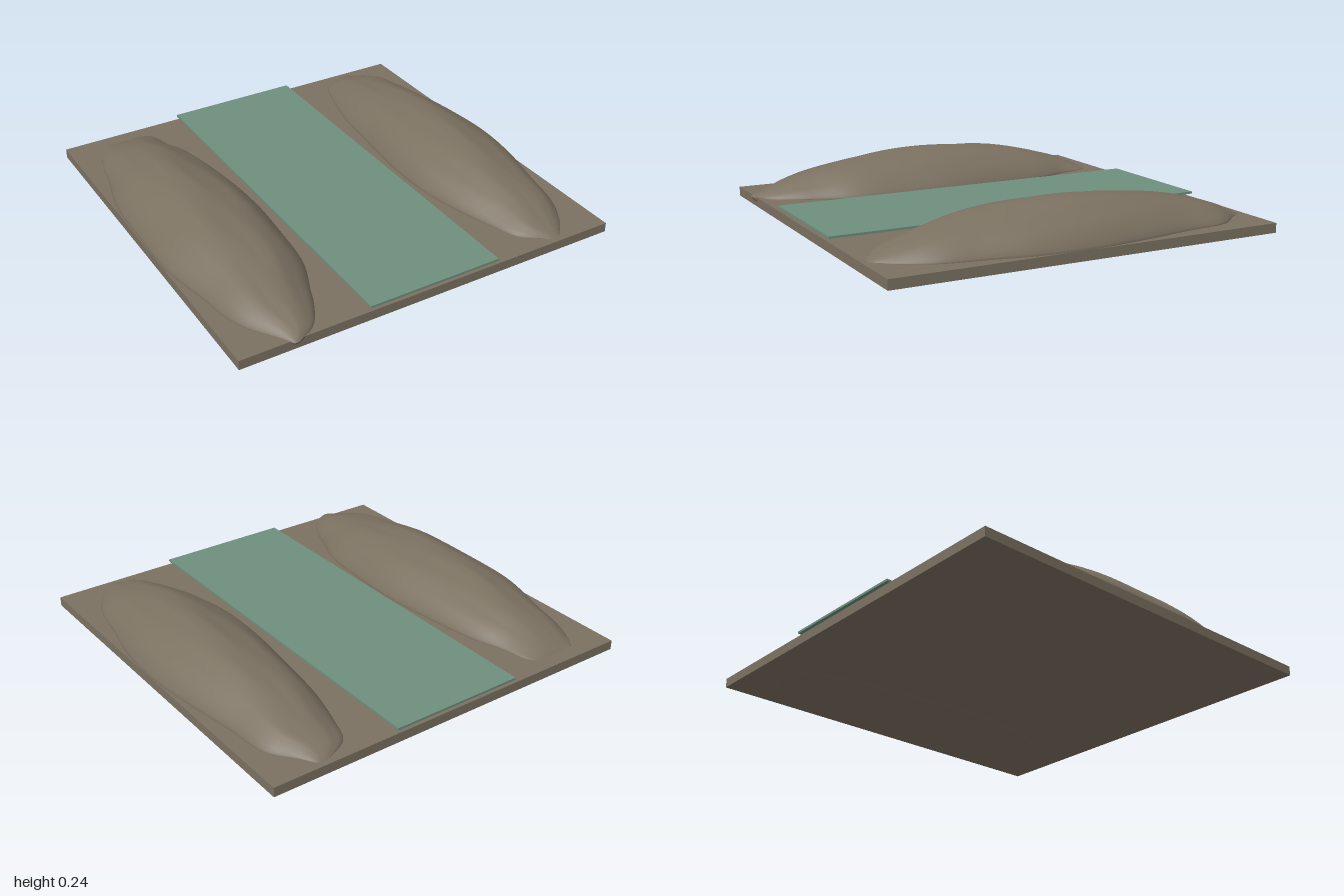
import * as THREE from 'three';

const earth = new THREE.MeshStandardMaterial({ color: 0x7b7161 });
earth.name = 'earth brown';
const waterGreen = new THREE.MeshStandardMaterial({ color: 0x6f8f7d });
waterGreen.name = 'water green';

function box(name, material, x0, x1, y0, y1, z0, z1) {
  const mesh = new THREE.Mesh(new THREE.BoxGeometry(x1 - x0, y1 - y0, z1 - z0), material);
  mesh.position.set((x0 + x1) / 2, (y0 + y1) / 2, (z0 + z1) / 2);
  mesh.name = name;
  return mesh;
}

// Long mound lofted along z; each outline row is [z, xMin, xMax]
function mound(name, outline, depth, seed) {
  const path = new THREE.CatmullRomCurve3(outline.map(([z, a, b]) => new THREE.Vector3(a, b, z)), false, 'centripetal');
  const rows = 48, sides = 40, pos = [], index = [];
  const zStart = outline[0][0], zEnd = outline[outline.length - 1][0];
  for (let i = 0; i <= rows; i++) {
    const { x: a, y: b, z } = path.getPoint(i / rows);
    const t = THREE.MathUtils.clamp(z < 0 ? z / zStart : z / zEnd, 0, 1);
    const height = 0.182 * Math.pow(1 - t * t, 0.8);
    for (let j = 0; j < sides; j++) {
      const angle = (j / sides) * Math.PI * 2;
      const u = Math.cos(angle), s = Math.sin(angle);
      let y;
      if (s >= 0) {
        // Gentle weathered ridges on the upper side
        const ridge = 1 + 0.035 * Math.sin(7 * u + 4 * z + seed) + 0.02 * Math.sin(15 * u - 6 * z + seed * 2);
        y = 0.05 + height * Math.pow(s, 1.45) * ridge;
      } else {
        // Flattened underside
        y = 0.05 - Math.min(depth, 0.12 * -s * Math.sqrt(1 - t * t));
      }
      pos.push((a + b) / 2 + (b - a) / 2 * u, y, z);
      if (i < rows) {
        const k = (j + 1) % sides, p = i * sides, q = p + sides;
        index.push(p + j, p + k, q + j, p + k, q + k, q + j);
      }
    }
  }
  const geometry = new THREE.BufferGeometry();
  geometry.setAttribute('position', new THREE.Float32BufferAttribute(pos, 3));
  geometry.setIndex(index);
  geometry.computeVertexNormals();
  const mesh = new THREE.Mesh(geometry, earth);
  mesh.name = name;
  return mesh;
}

export function createModel() {
  const group = new THREE.Group();
  group.name = 'riverValley';

  // Ground slab and the water sheet hovering just above it
  group.add(box('ground', earth, -0.985, 0.982, 0.003, 0.05, -1, 0.97));
  group.add(box('water', waterGreen, -0.345, 0.34, 0.066, 0.077, -1, 0.97));

  // Bank on the model's left (+x)
  group.add(mound('leftBank', [
    [-0.97, 0.68, 0.74], [-0.9, 0.56, 0.79], [-0.78, 0.51, 0.88], [-0.55, 0.45, 0.91],
    [-0.3, 0.42, 0.95], [0, 0.39, 0.98], [0.25, 0.39, 0.97], [0.5, 0.43, 0.92],
    [0.7, 0.49, 0.88], [0.85, 0.55, 0.8], [0.94, 0.67, 0.72],
  ], 0.05, 1));

  // Bank on the model's right (-x)
  group.add(mound('rightBank', [
    [-0.925, -0.78, -0.57], [-0.88, -0.82, -0.53], [-0.75, -0.88, -0.5], [-0.6, -0.91, -0.45],
    [-0.35, -0.97, -0.41], [0, -0.98, -0.38], [0.25, -0.98, -0.39], [0.52, -0.93, -0.42],
    [0.7, -0.9, -0.49], [0.8, -0.86, -0.53], [0.93, -0.77, -0.61], [0.99, -0.73, -0.71],
  ], 0.03, 3));

  return group;
}
